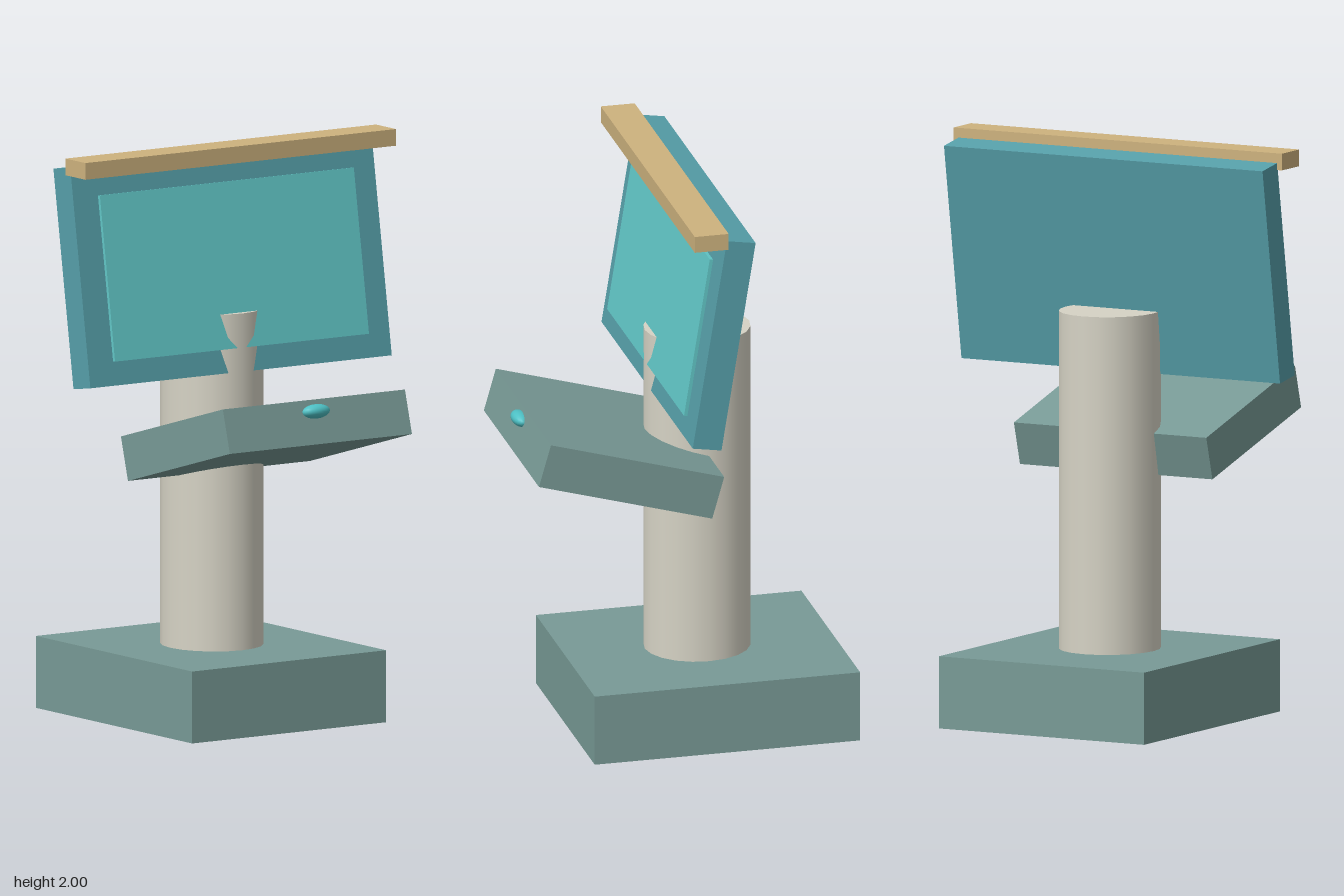
import * as THREE from 'three';

const material = (name, color) => {
  const m = new THREE.MeshStandardMaterial({ color });
  m.name = name;
  return m;
};

export function createModel() {
  const slate = material('greyGreen', 0x789a96);
  const stone = material('warmGrey', 0xd6d3c5);
  const teal = material('teal', 0x569fa9);
  const aqua = material('aqua', 0x62c8c8);
  const cyan = material('cyan', 0x4dc0c4);
  const tan = material('tan', 0xcdb27e);

  const model = new THREE.Group();
  model.name = 'kiosk';

  const add = (parent, name, geometry, mat, x, y, z) => {
    const mesh = new THREE.Mesh(geometry, mat);
    mesh.name = name;
    mesh.position.set(x, y, z);
    parent.add(mesh);
    return mesh;
  };
  const box = (parent, name, size, mat, x, y, z) =>
    add(parent, name, new THREE.BoxGeometry(...size), mat, x, y, z);

  // Group leaning about the x axis
  const tilted = (name, y, z, angle) => {
    const g = new THREE.Group();
    g.name = name;
    g.position.set(0, y, z);
    g.rotation.x = angle;
    model.add(g);
    return g;
  };

  // Base and slightly oval column
  box(model, 'base', [0.81, 0.25, 0.94], slate, 0, 0.125, -0.098);
  const column = add(model, 'column', new THREE.CylinderGeometry(1, 1, 1.17, 20),
    stone, 0, 0.835, -0.094);
  column.scale.set(0.173, 1, 0.185);

  // Display leaning back, with a thin screen standing just off its face
  const display = tilted('display', 1.583, -0.029, -0.16);
  box(display, 'displayCase', [1.258, 0.76, 0.103], teal, 0, 0, 0);
  box(display, 'screen', [1.06, 0.573, 0.012], aqua, 0, -0.011, 0.0645);

  // Bar along the top front edge
  box(model, 'topBar', [1.296, 0.058, 0.12], tan, 0, 1.971, 0.02);

  // Sloping tray with an oval button on its front face
  const tray = tilted('tray', 1.016, 0.235, -0.277);
  box(tray, 'trayBoard', [0.76, 0.155, 0.638], slate, 0, 0, 0);
  const button = add(tray, 'button', new THREE.SphereGeometry(1, 20, 12),
    cyan, 0, 0.036, 0.319);
  button.scale.set(0.055, 0.025, 0.032);

  return model;
}
